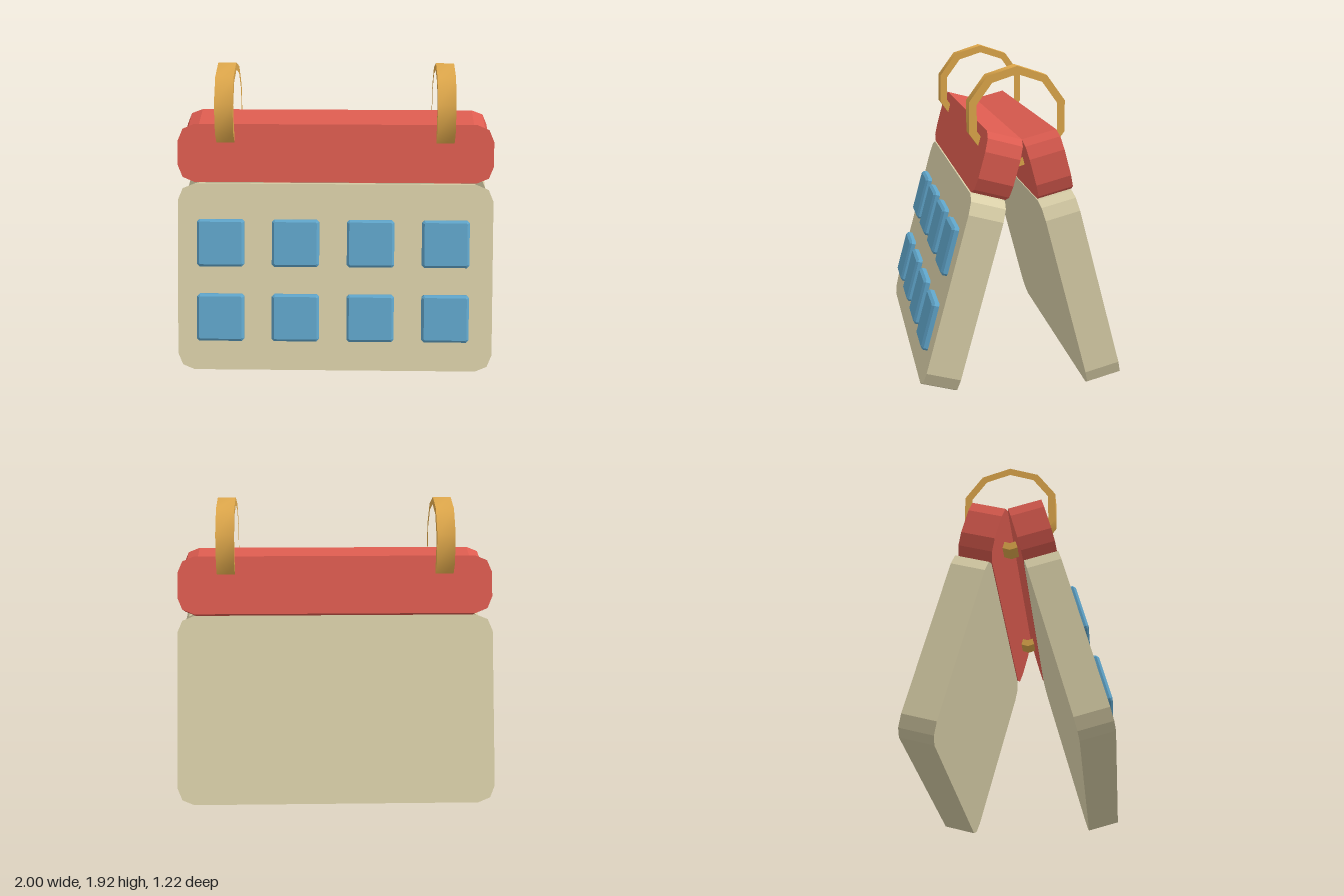
import * as THREE from 'three';
import { toCreasedNormals } from 'three/addons/utils/BufferGeometryUtils.js';

const TILT = THREE.MathUtils.degToRad(15);
const THICK = 0.21;

function material(name, color, flatShading = true) {
  const m = new THREE.MeshStandardMaterial({ color, flatShading });
  m.name = name;
  return m;
}

// Outline of a rectangle whose corners are cut into a few straight steps
function slabShape(w, h, r, steps) {
  const pts = [];
  for (let c = 0; c < 4; c++) {
    const cx = (c === 0 || c === 3 ? 1 : -1) * (w / 2 - r);
    const cy = (c < 2 ? 1 : -1) * (h / 2 - r);
    for (let i = 0; i <= steps; i++) {
      const a = (c + i / steps) * Math.PI / 2;
      pts.push(new THREE.Vector2(cx + r * Math.cos(a), cy + r * Math.sin(a)));
    }
  }
  return new THREE.Shape(pts);
}

function decagon(r) {
  return Array.from({ length: 10 }, (_, i) => {
    const a = i / 10 * Math.PI * 2;
    return new THREE.Vector2(Math.sin(a) * r, Math.cos(a) * r);
  });
}

function addMesh(parent, name, geometry, mat, x, y, z) {
  const mesh = new THREE.Mesh(geometry, mat);
  mesh.name = name;
  mesh.position.set(x, y, z);
  parent.add(mesh);
  return mesh;
}

export function createModel() {
  const cream = material('cream', 0xd9cfa8);
  const red = material('red', 0xdb5b4f);
  const blue = material('blue', 0x5fa4c9);
  const gold = material('gold', 0xdfa84b, false);

  const model = new THREE.Group();
  model.name = 'deskCalendar';

  const slab = (w, h) => new THREE.ExtrudeGeometry(slabShape(w, h, 0.105, 2),
    { depth: THICK, bevelEnabled: false });
  const pageGeo = slab(2, 1.19);
  const headerGeo = slab(2, 0.367);

  // Two leaning halves, each a page with a header bar above it
  const halves = ['front', 'back'].map((side, i) => {
    const turn = new THREE.Group();
    turn.name = side + 'Half';
    turn.rotation.y = i * Math.PI;
    const lean = new THREE.Group();
    lean.name = side + 'Lean';
    lean.position.z = 0.405;
    lean.rotation.x = -TILT;
    addMesh(lean, side + 'Page', pageGeo, cream, 0, 0.595, 0);
    addMesh(lean, side + 'Header', headerGeo, red, 0, 1.3835, 0);
    turn.add(lean);
    model.add(turn);
    return lean;
  });

  // Raised date tiles on the front page
  const tileGeo = new THREE.ExtrudeGeometry(slabShape(0.27, 0.27, 0.006, 1), {
    depth: 0.04, bevelEnabled: true, bevelSegments: 1, bevelSize: 0.015, bevelThickness: 0.015,
  });
  for (const y of [0.34, 0.815]) {
    for (let i = 0; i < 4; i++) {
      addMesh(halves[0], 'dateTile', tileGeo, blue, -0.725 + i * 0.475, y, THICK - 0.012);
    }
  }

  // Binding rings, ten-sided, passing through both headers
  const ringShape = new THREE.Shape(decagon(0.3));
  ringShape.holes.push(new THREE.Path(decagon(0.252)));
  let ringGeo = new THREE.ExtrudeGeometry(ringShape, { depth: 0.115, bevelEnabled: false });
  ringGeo.translate(0, 0, -0.0575);
  ringGeo.rotateY(Math.PI / 2);
  ringGeo = toCreasedNormals(ringGeo, THREE.MathUtils.degToRad(40));
  for (const x of [-0.697, 0.693]) addMesh(model, 'bindingRing', ringGeo, gold, x, 1.622, 0);

  return model;
}
